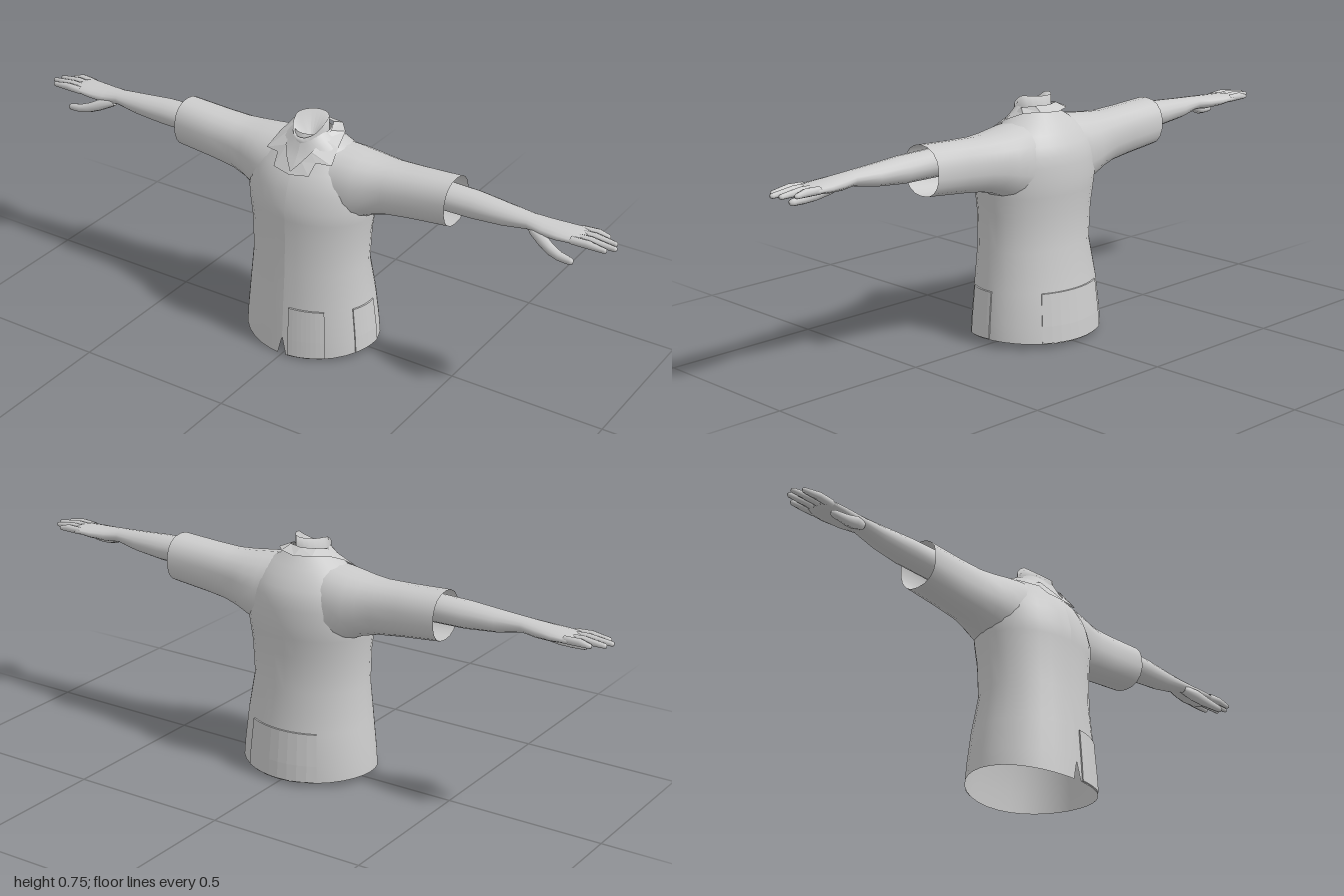
import * as THREE from 'three';

const material = new THREE.MeshStandardMaterial({ color: 0xcccccc, side: THREE.DoubleSide });

// Skin a grid of point rows; closed rows wrap around, flip reverses the faces.
function loft(name, rows, { closed = true, flip = false, flat = false } = {}) {
  const n = rows[0].length, index = [];
  for (let i = 0; i < rows.length - 1; i++) {
    for (let j = 0; j < (closed ? n : n - 1); j++) {
      const k = (j + 1) % n;
      const a = i * n + j, b = i * n + k, c = a + n, d = b + n;
      index.push(...(flip ? [a, c, b, b, c, d] : [a, b, c, b, d, c]));
    }
  }
  let geometry = new THREE.BufferGeometry();
  geometry.setAttribute('position', new THREE.Float32BufferAttribute(rows.flat(2), 3));
  geometry.setIndex(index);
  if (flat) geometry = geometry.toNonIndexed();
  geometry.computeVertexNormals();
  const mesh = new THREE.Mesh(geometry, material);
  mesh.name = name;
  return mesh;
}

// Torso profile: height, half width, front z, back z
const profile = [
  [0, 0.22, 0.18, -0.18], [0.06, 0.216, 0.177, -0.176], [0.17, 0.205, 0.17, -0.165],
  [0.29, 0.19, 0.16, -0.14], [0.4, 0.195, 0.157, -0.143], [0.46, 0.204, 0.159, -0.149],
  [0.5, 0.208, 0.16, -0.153], [0.55, 0.203, 0.148, -0.15], [0.58, 0.195, 0.137, -0.146],
  [0.61, 0.18, 0.12, -0.135], [0.64, 0.155, 0.095, -0.115], [0.665, 0.12, 0.08, -0.095],
  [0.69, 0.08, 0.07, -0.07], [0.71, 0.055, 0.06, -0.05],
];

// Point on the torso at angle t (0 = front, toward +x) and height y
function torsoPoint(t, y, offset = 0) {
  let i = 0;
  while (i < profile.length - 2 && y > profile[i + 1][0]) i++;
  const f = (y - profile[i][0]) / (profile[i + 1][0] - profile[i][0]);
  const [, w, front, back] = profile[i].map((v, k) => v + (profile[i + 1][k] - v) * f);
  const hem = Math.max(0, 1 - y / 0.17) * (0.016 * Math.sin(t) ** 2 + 0.005 * (1 - Math.cos(t)));
  return [
    (w + offset) * Math.sin(t), y + hem,
    (front + back) / 2 + ((front - back) / 2 + offset) * Math.cos(t),
  ];
}

// Shirt body, open at the front seam so that a slit can part at the hem
function torso() {
  const n = 32;
  const rows = profile.map(([y]) => {
    const row = [];
    for (let j = 0; j <= n; j++) row.push(torsoPoint((j / n) * Math.PI * 2, y));
    const gap = 0.015 * Math.max(0, 1 - y / 0.06);
    row[0][0] = gap;
    row[n][0] = -gap;
    return row;
  });
  return loft('shirtBody', rows, { closed: false });
}

// Patch pocket following the body, its border turned down to the cloth
function pocket(name, t0, t1) {
  const steps = 8, rows = [];
  for (const [y, off] of [[0.003, 0], [0.004, 0.004], [0.06, 0.004], [0.168, 0.004], [0.169, 0]]) {
    const row = [torsoPoint(t0, y)];
    for (let j = 0; j <= steps; j++) row.push(torsoPoint(t0 + ((t1 - t0) * j) / steps, y, off));
    row.push(torsoPoint(t1, y));
    rows.push(row);
  }
  return loft(name, rows, { closed: false, flat: true });
}

// Tube along x from sections [x, bottom, top, back z, front z], on side s
function limb(name, s, sections, n = 16, square = 1) {
  const bend = (v) => Math.sign(v) * Math.abs(v) ** square;
  const rows = sections.map(([x, y0, y1, z0, z1]) =>
    Array.from({ length: n }, (_, j) => {
      const t = (j / n) * Math.PI * 2;
      return [
        s * x,
        (y0 + y1) / 2 + ((y1 - y0) / 2) * bend(Math.cos(t)),
        (z0 + z1) / 2 + ((z1 - z0) / 2) * bend(Math.sin(t)),
      ];
    }));
  return loft(name, rows, { flip: s < 0 });
}

// Finger or thumb from [x, y, z, radius] stations with a rounded tip
function digit(name, s, stations) {
  const [x, y, z, r] = stations[stations.length - 1];
  const all = [...stations, [x + r * 0.7, y, z, r * 0.7], [x + r, y, z, 0]];
  return limb(name, s, all.map(([px, py, pz, pr]) => [px, py - pr, py + pr, pz - pr, pz + pr]), 8);
}

function armSide(s) {
  const group = new THREE.Group();
  group.name = s > 0 ? 'leftArm' : 'rightArm';

  // Sleeve, flaring into the shoulder and open at the cuff
  group.add(limb('sleeve', s, [
    [0.06, 0.42, 0.675, -0.115, 0.1], [0.13, 0.44, 0.669, -0.12, 0.1],
    [0.18, 0.46, 0.663, -0.115, 0.09], [0.22, 0.478, 0.659, -0.107, 0.076],
    [0.27, 0.492, 0.656, -0.098, 0.064], [0.35, 0.502, 0.659, -0.093, 0.058],
    [0.48, 0.515, 0.666, -0.09, 0.055],
  ], 18, 0.88));

  // Forearm running into the palm
  group.add(limb('forearm', s, [
    [0.4, 0.562, 0.648, -0.058, 0.04], [0.55, 0.564, 0.645, -0.055, 0.04],
    [0.65, 0.573, 0.637, -0.045, 0.036], [0.73, 0.588, 0.631, -0.034, 0.032],
    [0.78, 0.584, 0.627, -0.043, 0.04], [0.83, 0.587, 0.624, -0.052, 0.044],
    [0.88, 0.594, 0.621, -0.055, 0.042], [0.9, 0.599, 0.617, -0.052, 0.038],
    [0.902, 0.608, 0.608, -0.008, -0.008],
  ]));

  // Four fingers
  [[0.032, 0.98], [0.008, 1], [-0.018, 0.99], [-0.043, 0.957]].forEach(([z, tip], i) => {
    group.add(digit('finger' + (i + 1), s, [
      [0.87, 0.608, z * 0.95, 0.012], [0.92, 0.61, z, 0.0125], [tip - 0.008, 0.606, z, 0.008],
    ]));
  });

  // Thumb, hanging forward and down from the palm
  group.add(digit('thumb', s, [
    [0.74, 0.598, 0.018, 0.014], [0.785, 0.583, 0.035, 0.02],
    [0.82, 0.569, 0.048, 0.017], [0.85, 0.562, 0.056, 0.014], [0.885, 0.559, 0.06, 0.011],
  ]));
  return group;
}

// Neck with a slanted open top and a hollow inside
function neck() {
  const ring = (fx, fy) => Array.from({ length: 20 }, (_, j) => {
    const t = (j / 20) * Math.PI * 2;
    const z = 0.014 + 0.059 * fx * Math.cos(t);
    return [0.052 * fx * Math.sin(t), fy(z), z];
  });
  return loft('neck', [
    ring(1.08, () => 0.65), ring(1, () => 0.69 - 0.005),
    ring(1, (z) => Math.min(0.745, 0.745 - (z - 0.01) * 0.71)), ring(0, () => 0.66),
  ]);
}

// Turned-down collar with notched lapels, mirrored from a half outline
function collar() {
  const inner = [
    [0, 0.612, 0.126], [0.025, 0.64, 0.104], [0.043, 0.665, 0.082], [0.045, 0.668, 0.08],
    [0.06, 0.695, 0.035], [0.062, 0.71, 0], [0.045, 0.718, -0.04], [0, 0.718, -0.055],
  ];
  const outer = [
    [0, 0.603, 0.133], [0.062, 0.61, 0.122], [0.068, 0.643, 0.092], [0.115, 0.641, 0.08],
    [0.103, 0.675, 0.025], [0.09, 0.7, -0.035], [0.055, 0.705, -0.075], [0, 0.7, -0.09],
  ];
  const whole = (half) => [
    ...half, ...half.slice(0, -1).reverse().map(([x, y, z]) => [-x, y, z]),
  ];
  return loft('collar', [whole(outer), whole(inner)], { closed: false, flat: true });
}

export function createModel() {
  const model = new THREE.Group();
  model.name = 'shirtTorso';
  model.add(torso(), neck(), collar());
  model.add(pocket('frontPocket', 0.1, 0.66));
  model.add(pocket('sidePocket', 1.15, 1.68));
  model.add(pocket('backPocket', 2.55, 3.73));
  for (const s of [1, -1]) model.add(armSide(s));
  return model;
}
